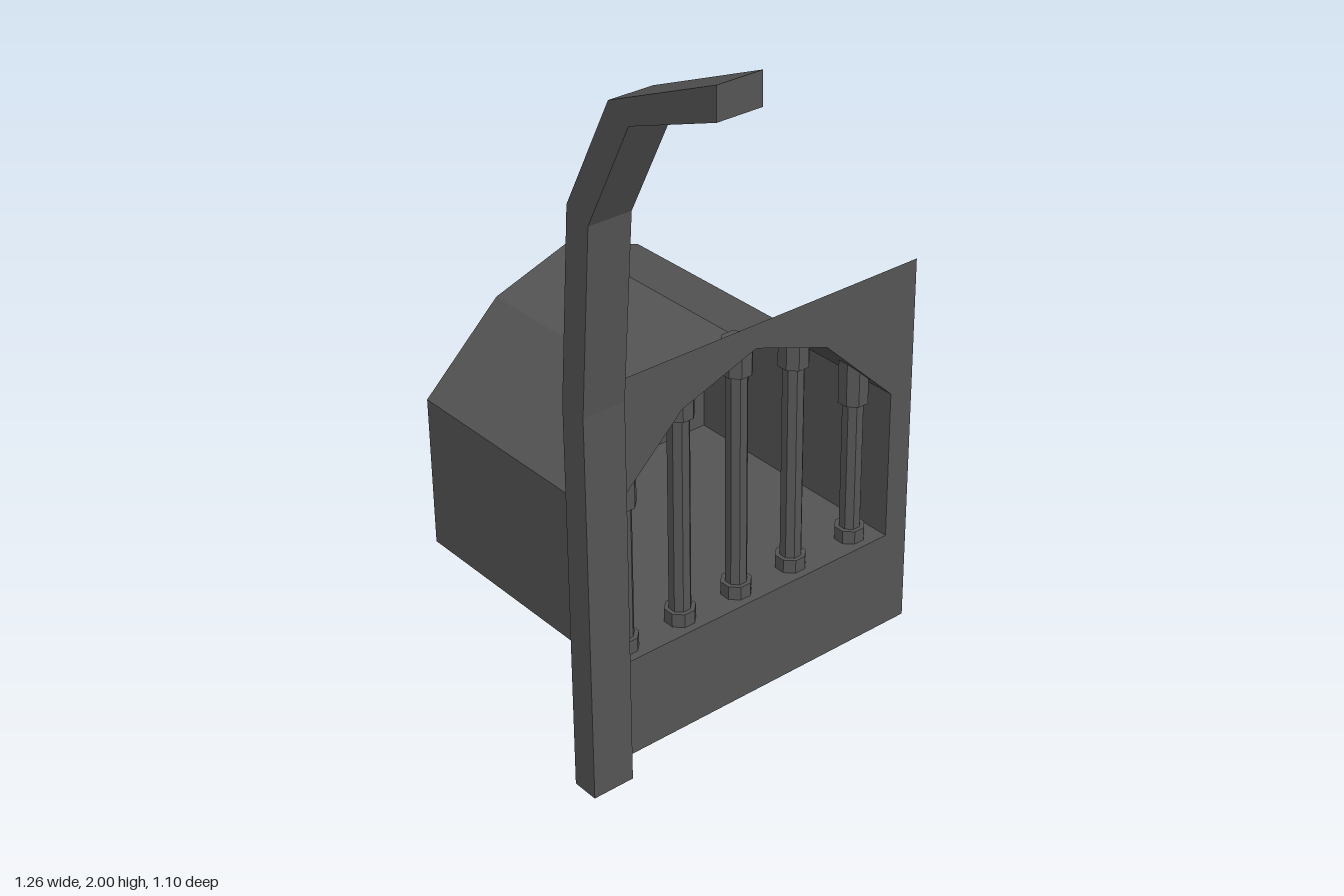
import * as THREE from 'three';

export function createModel() {
  const model = new THREE.Group();
  const iron = new THREE.MeshStandardMaterial({ color: 0x555555, side: THREE.DoubleSide });
  iron.name = 'dark iron';

  const add = (name, geometry, parent = model) => {
    const mesh = new THREE.Mesh(geometry, iron);
    mesh.name = name;
    parent.add(mesh);
    return mesh;
  };
  const vectors = (list) => list.map(([a, b]) => new THREE.Vector2(a, b));

  const faceX = 0.1, backX = -0.635;

  // Arched opening outline, as (z, y)
  const arch = [
    [0.432, 0.28], [0.432, 0.705], [0.207, 0.92], [-0.022, 1.0],
    [-0.25, 0.92], [-0.474, 0.705], [-0.474, 0.28],
  ];

  // Thin front panel with the arched hole
  const panel = new THREE.Shape(vectors([[-0.546, 0], [0.549, 0], [0.549, 1.065], [-0.546, 1.065]]));
  panel.holes.push(new THREE.Path(vectors(arch)));
  add('frontPanel', new THREE.ShapeGeometry(panel).rotateY(-Math.PI / 2).translate(faceX, 0, 0));

  // Hollow chamber behind the panel: walls, floor and roof as one open tunnel
  const corners = [];
  arch.forEach(([z, y], i) => {
    const [z2, y2] = arch[(i + 1) % arch.length];
    corners.push(faceX, y, z, faceX, y2, z2, backX, y2, z2);
    corners.push(faceX, y, z, backX, y2, z2, backX, y, z);
  });
  const tunnel = new THREE.BufferGeometry();
  tunnel.setAttribute('position', new THREE.Float32BufferAttribute(corners, 3));
  tunnel.computeVertexNormals();
  add('chamberWalls', tunnel);

  // Closed rear end of the chamber
  add('chamberBack', new THREE.ShapeGeometry(new THREE.Shape(vectors(arch)))
    .rotateY(-Math.PI / 2).translate(backX, 0, 0));

  // Tall post that bends outward at the top
  const post = new THREE.Shape(vectors([
    [0.1, 0], [0.175, 0], [0.175, 1.06], [0.213, 1.545], [0.357, 1.822],
    [0.63, 1.922], [0.63, 2.0], [0.292, 1.858], [0.14, 1.57], [0.1, 1.065],
  ]));
  add('bentPost', new THREE.ExtrudeGeometry(post, { depth: 0.117, bevelEnabled: false })
    .translate(0, 0, 0.433));

  // Eight-sided prism standing between two heights
  const prism = (halfWidth, y0, y1) => {
    const radius = halfWidth / Math.cos(Math.PI / 8);
    return new THREE.CylinderGeometry(radius, radius, y1 - y0, 8)
      .rotateY(Math.PI / 8).toNonIndexed().translate(0, (y0 + y1) / 2, 0);
  };
  const flat = (geometry) => {
    geometry.computeVertexNormals();
    return geometry;
  };

  // Upright bars with collars: z, underside of top collar, top of collar
  [
    [0.35, 0.69, 0.83], [0.17, 0.865, 0.952], [-0.012, 0.915, 1.005],
    [-0.195, 0.87, 0.952], [-0.4, 0.69, 0.83],
  ].forEach(([z, collarY, topY]) => {
    const bar = new THREE.Group();
    bar.name = 'bar';
    bar.position.set(0.04, 0, z);
    add('barBase', flat(prism(0.038, 0.25, 0.318)), bar);
    add('barShaft', flat(prism(0.027, 0.3, collarY + 0.02)), bar);
    add('barCollar', flat(prism(0.038, collarY, topY)), bar);
    model.add(bar);
  });

  return model;
}
